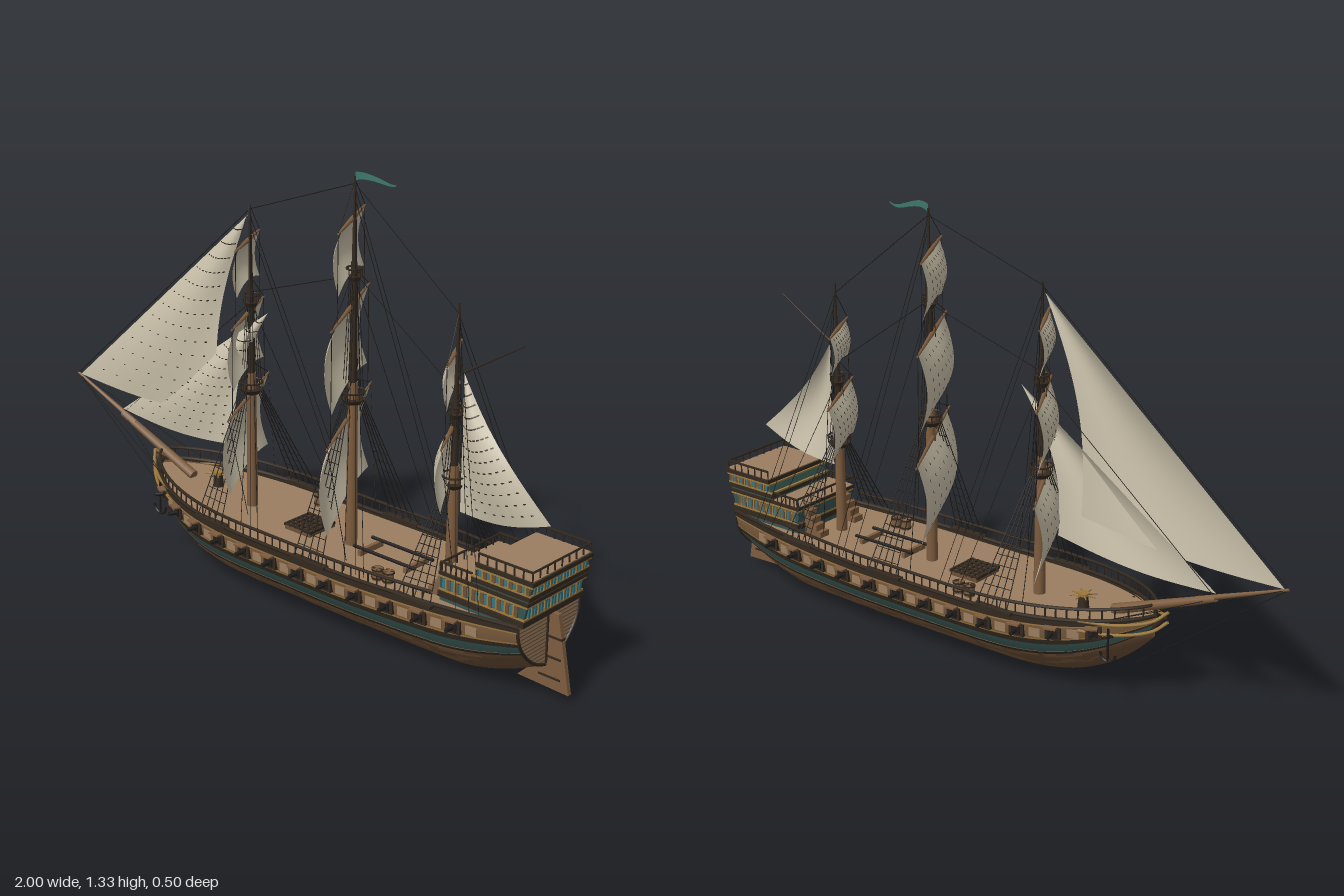
import * as THREE from 'three';
import { mergeGeometries } from 'three/addons/utils/BufferGeometryUtils.js';

const mat = (name, color) => new THREE.MeshStandardMaterial({ name, color, side: THREE.DoubleSide });
const M = {
  hull: mat('hull brown', 0x6b4f36), dark: mat('dark timber', 0x33291f), teal: mat('teal paint', 0x35534f),
  gold: mat('gold trim', 0x9c783c), deck: mat('deck planks', 0x9b7e60), spar: mat('spar brown', 0x7d5c3e),
  rope: mat('black rope and iron', 0x1f1c1a), sail: mat('canvas', 0xcac1aa), glass: mat('window blue', 0x37747f),
  flag: mat('pennant green', 0x3c776c),
};
const V = (x, y, z) => new THREE.Vector3(x, y, z);
const lerp = THREE.MathUtils.lerp;
const SIDES = [-1, 1];

// Adds one mesh made of one or many geometries
function add(parent, name, geos, material) {
  const list = [geos].flat().map(g => {
    g = g.index ? g.toNonIndexed() : g;
    g.deleteAttribute('uv');
    return g;
  });
  const mesh = new THREE.Mesh(mergeGeometries(list), material);
  mesh.name = name;
  parent.add(mesh);
}
// Surface from a rule fn(u, v), both 0..1
function grid(nu, nv, fn) {
  const pos = [], idx = [], w = nv + 1;
  for (let i = 0; i <= nu; i++) for (let j = 0; j <= nv; j++) pos.push(...fn(i / nu, j / nv).toArray());
  for (let i = 0; i < nu; i++) for (let j = 0; j < nv; j++) {
    const a = i * w + j;
    idx.push(a, a + 1, a + w, a + 1, a + w + 1, a + w);
  }
  const g = new THREE.BufferGeometry();
  g.setAttribute('position', new THREE.Float32BufferAttribute(pos, 3));
  g.setIndex(idx);
  g.computeVertexNormals();
  return g;
}
// Straight tapered rod between two points
function rod(a, b, r0, r1 = r0, n = 4) {
  const d = b.clone().sub(a), g = new THREE.CylinderGeometry(r1, r0, d.length(), n);
  g.applyQuaternion(new THREE.Quaternion().setFromUnitVectors(V(0, 1, 0), d.normalize()));
  return g.translate(...a.clone().add(b).multiplyScalar(0.5).toArray());
}
const box = (w, h, d, x = 0, y = 0, z = 0) => new THREE.BoxGeometry(w, h, d).translate(x, y, z);
const cyl = (r, h, x, y, z, n = 12, rTop = r) => new THREE.CylinderGeometry(rTop, r, h, n).translate(x, y, z);
const tube = (pts, r, n = 40) => new THREE.TubeGeometry(new THREE.CatmullRomCurve3(pts), n, r, 5);

// Hull form: keel line, sheer line, half beam and section
const X0 = -0.59, X1 = 0.92;
const keel = x => x < -0.12 ? 0.2 * ((-0.12 - x) / 0.47) ** 2.6 : x > 0.65 ? 0.09 * ((x - 0.65) / 0.27) ** 1.7 : 0;
const sheer = x => 0.235 + (x < 0 ? 0.03 * (x / 0.59) ** 2 : 0.015 * (x / 0.92) ** 2);
const beam = x => x < 0 ? 0.2 * Math.max(0, 1 - (-x / 0.59) ** 2.6) ** 0.75
  : x > 0.3 ? 0.2 - 0.062 * ((x - 0.3) / 0.62) ** 1.6 : 0.2;
const H = (x, s, sd, off = 0) =>
  V(x, lerp(keel(x), sheer(x), s), sd * (beam(x) * Math.sin(1.62 * s ** 0.68) + off));
const along = u => X0 + (X1 - X0) * u ** 1.4;
const band = (s0, s1, off, n = 2) => SIDES.map(sd =>
  grid(60, n, (u, v) => H(along(u), lerp(s0, s1, v), sd, off)));
// Moves a part modelled at the origin to the hull side
function onHull(g, x, s, sd, off = 0) {
  const slope = (beam(x + 0.01) - beam(x - 0.01)) / 0.02;
  return g.rotateY(-Math.atan(sd * slope)).translate(...H(x, s, sd, off).toArray());
}

function buildHull(root) {
  const g = new THREE.Group();
  g.name = 'hull';
  root.add(g);
  add(g, 'bottom planking', band(0, 0.43, 0, 14), M.hull);
  add(g, 'lower wale', band(0.43, 0.47, 0.003), M.dark);
  add(g, 'teal strake', band(0.47, 0.61, 0, 4), M.teal);
  add(g, 'main wale', band(0.61, 0.68, 0.005), M.dark);
  add(g, 'gun strake', band(0.68, 0.9, 0, 4), M.spar);
  add(g, 'gold moulding', [...band(0.675, 0.7, 0.003), ...band(0.88, 0.9, 0.003)], M.gold);
  add(g, 'top strake', band(0.9, 1, 0.002), M.dark);

  // Paler repair planks scattered over the bottom
  let seed = 7;
  const rnd = () => (seed = (seed * 16807) % 2147483647) / 2147483647;
  const planks = [];
  for (let i = 0; i < 170; i++) {
    const x = -0.48 + rnd() * 1.25, row = Math.floor(rnd() * 6), len = 0.03 + rnd() * 0.06, sd = i % 2 ? 1 : -1;
    planks.push(grid(4, 1, (u, v) => H(x + u * len, 0.19 + (row + v) * 0.04, sd, 0.0015)));
  }
  add(g, 'repair planks', planks, M.spar);

  add(g, 'main deck', grid(50, 1, (u, v) => {
    const x = along(u);
    return V(x, sheer(x) - 0.015, (v * 2 - 1) * beam(x));
  }), M.deck);
  add(g, 'transom', grid(16, 1, (s, v) => H(X1, s, 1).multiply(V(1, 1, v * 2 - 1))), M.deck);
  const seams = [];
  for (let s = 0.1; s < 1; s += 0.07) seams.push(box(0.003, 0.003, 2 * H(X1, s, 1).z, X1, H(X1, s, 1).y, 0));
  add(g, 'transom seams', seams, M.hull);
  add(g, 'transom edge', SIDES.map(sd => tube([0, 0.1, 0.25, 0.5, 0.75, 1].map(s => H(X1, s, sd)), 0.005)), M.dark);

  // Gunports, guns and the raised panels between
  const frames = [], guns = [], panels = [], lids = [];
  for (const sd of SIDES) for (let i = 0; i < 12; i++) {
    const x = -0.46 + i * 0.108;
    frames.push(onHull(box(0.046, 0.038, 0.014), x, 0.79, sd));
    guns.push(onHull(box(0.026, 0.024, 0.018), x, 0.79, sd, 0.001));
    guns.push(onHull(new THREE.CylinderGeometry(0.006, 0.008, 0.05, 8).rotateX(sd * Math.PI / 2), x, 0.79, sd, 0.012));
    lids.push(onHull(box(0.036, 0.005, 0.026), x, 0.89, sd, 0.012));
    panels.push(onHull(box(0.034, 0.026, 0.008), x + 0.054, 0.78, sd));
  }
  add(g, 'port frames', frames, M.dark);
  add(g, 'guns', guns, M.rope);
  add(g, 'port lids', lids, M.spar);
  add(g, 'side panels', panels, M.deck);

  // Waist rail running around the bow
  const up = (p, h) => p.setY(p.y + h), port = [], posts = [];
  for (let i = 0; i <= 30; i++) port.push(0.66 + (X0 - 0.66) * (1 - (1 - i / 30) ** 1.5));
  const path = [...port.map(x => up(H(x, 1, 1), 0.035)), ...port.slice(0, -1).reverse().map(x => up(H(x, 1, -1), 0.035))];
  for (const sd of SIDES) for (let x = -0.57; x < 0.66; x += 0.03)
    posts.push(rod(H(x, 0.98, sd), up(H(x, 1, sd), 0.035), 0.003));
  add(g, 'waist rail', [tube(path, 0.005, 120), ...posts], M.dark);
  add(g, 'gunwale', SIDES.map(sd => tube(Array.from({ length: 25 }, (_, i) => H(along(i / 24), 1, sd)), 0.006, 60)), M.dark);

  // Rudder
  const shape = new THREE.Shape([[0.905, 0.25], [0.955, 0.25], [0.998, 0.025], [0.83, 0.03], [0.9, 0.1]].map(p => new THREE.Vector2(...p)));
  add(g, 'rudder', new THREE.ExtrudeGeometry(shape, { depth: 0.014, bevelEnabled: false }).translate(0, 0, -0.007), M.spar);
  add(g, 'rudder irons', [0.06, 0.12, 0.18].map(y => box(0.07, 0.006, 0.018, 0.935, y, 0)), M.dark);
  add(g, 'rudder post', SIDES.map(sd => rod(V(0.924, 0.1, sd * 0.01), V(0.924, 0.25, sd * 0.01), 0.004)), M.dark);

  // Bow head rails and anchors
  add(g, 'head rails', SIDES.flatMap(sd => [0, 0.03].map(d =>
    tube([V(-0.42, 0.25 - d, sd * 0.135), V(-0.52, 0.245 - d, sd * 0.085), V(-0.6, 0.26 - d, sd * 0.03), V(-0.63, 0.285 - d, 0)], 0.005))), M.gold);
  add(g, 'beakhead', rod(V(-0.53, 0.16, 0), V(-0.62, 0.27, 0), 0.014, 0.01, 6), M.dark);
  add(g, 'anchors', SIDES.flatMap(sd => [
    rod(V(-0.5, 0.235, sd * 0.1), V(-0.5, 0.13, sd * 0.1), 0.004),
    rod(V(-0.515, 0.215, sd * 0.1), V(-0.485, 0.215, sd * 0.1), 0.004),
    new THREE.TorusGeometry(0.025, 0.004, 5, 14, Math.PI).rotateZ(Math.PI).translate(-0.5, 0.158, sd * 0.1)]), M.rope);
}

function buildStern(root) {
  const g = new THREE.Group();
  g.name = 'sterncastle';
  root.add(g);
  const W = 0.128, STEP = 0.757, rake = y => 0.925 + (y - 0.25) * 0.22;
  const shape = new THREE.Shape([[0.65, 0.235], [0.915, 0.235], [0.925, 0.25], [rake(0.385), 0.385], [STEP + 0.02, 0.38], [STEP, 0.32], [0.65, 0.315]].map(p => new THREE.Vector2(...p)));
  add(g, 'castle walls', new THREE.ExtrudeGeometry(shape, { depth: 2 * W, bevelEnabled: false }).translate(0, 0, -W), M.teal);
  add(g, 'castle decks', [box(0.107, 0.006, 2 * W, 0.703, 0.321, 0), box(0.18, 0.006, 2 * W, 0.865, 0.386, 0)], M.deck);
  const belt = (x0, y, h, e) => box(rake(y) + e - x0, h, 2 * (W + e), (x0 + rake(y) + e) / 2, y, 0);
  add(g, 'dark belts', [belt(0.648, 0.257, 0.016, 0.008), belt(0.648, 0.317, 0.01, 0.005), belt(STEP, 0.334, 0.012, 0.005), belt(STEP + 0.015, 0.38, 0.012, 0.006)], M.dark);
  add(g, 'gold belts', [belt(0.649, 0.269, 0.005, 0.004), belt(0.649, 0.308, 0.005, 0.004), belt(STEP, 0.344, 0.005, 0.004), belt(STEP + 0.012, 0.37, 0.005, 0.004)], M.gold);

  // Window rows along the sides and across the stern
  const panes = [], mullions = [], shutters = [];
  for (const [x0, x1, y, h] of [[0.665, 0.915, 0.288, 0.026], [0.785, 0.935, 0.357, 0.016]]) {
    for (const sd of SIDES) for (let x = x0; x < x1; x += 0.028) {
      panes.push(box(0.01, h, 0.006, x, y, sd * W));
      mullions.push(box(0.005, h + 0.006, 0.01, x + 0.009, y, sd * W));
      shutters.push(box(0.008, h + 0.006, 0.008, x + 0.018, y, sd * W));
    }
    for (let i = -8; i <= 8; i++) {
      panes.push(box(0.008, h, 0.009, rake(y), y, i * 0.0142));
      if (i % 2) mullions.push(box(0.013, h + 0.006, 0.003, rake(y), y, i * 0.0142 + 0.007));
    }
  }
  add(g, 'window panes', panes, M.glass);
  add(g, 'window mullions', mullions, M.gold);
  add(g, 'window shutters', shutters, M.hull);

  // Deck railings
  const rails = [], railing = (x0, x1, y, back) => {
    for (const sd of SIDES) {
      rails.push(rod(V(x0, y + 0.028, sd * W), V(x1, y + 0.028, sd * W), 0.004));
      for (let i = 0; i <= 6; i++) rails.push(rod(V(lerp(x0, x1, i / 6), y, sd * W), V(lerp(x0, x1, i / 6), y + 0.028, sd * W), 0.003));
    }
    rails.push(rod(V(back, y + 0.028, -W), V(back, y + 0.028, W), 0.004));
    for (let i = 0; i <= 8; i++) rails.push(rod(V(back, y, lerp(-W, W, i / 8)), V(back, y + 0.028, lerp(-W, W, i / 8)), 0.003));
  };
  railing(0.65, STEP, 0.32, 0.655);
  railing(STEP + 0.02, 0.952, 0.385, 0.952);
  add(g, 'castle railings', rails, M.dark);
  add(g, 'stairs', [0, 1, 2, 3].flatMap(i => SIDES.map(sd => box(0.016, 0.02 * (i + 1), 0.04, 0.594 + i * 0.016, 0.225 + 0.01 * (i + 1), sd * 0.08))), M.spar);
}

function buildDeckGear(root) {
  const y = 0.222, grate = [], spokes = [];
  for (let i = 0; i < 6; i++) grate.push(box(0.1, 0.008, 0.006, 0.05, y + 0.012, -0.05 + i * 0.02), box(0.006, 0.008, 0.11, i * 0.02, y + 0.012, 0));
  add(root, 'hatch grating', grate, M.dark);
  add(root, 'hatch cover', box(0.1, 0.012, 0.11, 0.05, y + 0.004, 0), M.hull);
  add(root, 'spare spars', [-0.04, 0.04].map(z => rod(V(0.26, y + 0.02, z), V(0.49, y + 0.02, z), 0.005, 0.005, 6)), M.rope);
  add(root, 'spar cradles', [0.29, 0.46].map(x => box(0.012, 0.018, 0.1, x, y + 0.008, 0)), M.spar);
  const kegs = [[-0.04, -0.14], [0, -0.14], [0.43, 0.13], [0.465, 0.125]];
  add(root, 'barrels', kegs.map(([x, z]) => cyl(0.016, 0.035, x, y + 0.017, z)), M.spar);
  add(root, 'barrel hoops', kegs.flatMap(([x, z]) => [0.008, 0.032].map(h => cyl(0.018, 0.005, x, y + h, z))), M.dark);
  for (let i = 0; i < 8; i++) {
    const a = i * Math.PI / 4;
    spokes.push(rod(V(-0.36, 0.272, -0.02), V(-0.36 + 0.04 * Math.cos(a), 0.272, -0.02 + 0.04 * Math.sin(a)), 0.004, 0.002));
  }
  add(root, 'capstan bars', [...spokes, cyl(0.017, 0.008, -0.36, 0.274, -0.02)], M.gold);
  add(root, 'capstan drum', cyl(0.018, 0.05, -0.36, 0.25, -0.02, 12, 0.013), M.dark);
}

// Canvas with rows of reef points on its outer face
function canvas(parent, name, fn, nu, nv, push) {
  add(parent, name, grid(20, 16, fn), M.sail);
  const dots = [];
  for (let i = 1; i < nu; i++) for (let j = 1; j < nv; j++) {
    const u = i / nu, v = j / nv, p = fn(u, v).add(push);
    const du = fn(u + 0.01, v).sub(fn(u, v)).normalize(), dv = fn(u, v + 0.01).sub(fn(u, v)).normalize();
    dots.push(grid(1, 1, (a, b) => p.clone().addScaledVector(du, (a - 0.5) * 0.004).addScaledVector(dv, (b - 0.5) * 0.009)));
  }
  add(parent, name + ' reef points', dots, M.dark);
}

// Mast: x, top height, platform heights, square sails [yard y, half length, drop]
function buildMast(root, name, x, top, tops, sails) {
  const [t0, t1] = tops, g = new THREE.Group();
  g.name = name;
  g.position.x = x;
  root.add(g);
  add(g, 'lower mast', rod(V(0, 0.2, 0), V(0, t0 + 0.05, 0), 0.018, 0.014, 12), M.spar);
  add(g, 'upper mast', [rod(V(0, t0, 0), V(0, t1 + 0.04, 0), 0.012, 0.009, 10), rod(V(0, t1, 0), V(0, top, 0), 0.008, 0.003, 8)], M.dark);
  add(g, 'platforms', tops.flatMap((y, i) => {
    const r = i ? 0.022 : 0.034;
    return [cyl(r * 0.7, 0.014, 0, y - 0.007, 0, 12, r), new THREE.TorusGeometry(r, 0.003, 5, 16).rotateX(Math.PI / 2).translate(0, y + 0.022, 0),
      ...[0, 1, 2, 3, 4, 5, 6, 7].map(k => cyl(0.002, 0.022, r * Math.cos(k * Math.PI / 4), y + 0.011, r * Math.sin(k * Math.PI / 4), 4))];
  }), M.dark);

  // Shrouds, ratlines and backstays
  const ropes = [];
  for (const sd of SIDES) {
    const foot = k => V(-0.03 + k * 0.026, 0.245, sd * (beam(x + k * 0.026) + 0.008)), head = k => V(-0.012 + k * 0.006, t0, sd * 0.03);
    for (let k = 0; k < 5; k++) ropes.push(rod(foot(k), head(k), 0.0018));
    for (let i = 1; i < 12; i++) ropes.push(rod(foot(0).lerp(head(0), i / 13), foot(4).lerp(head(4), i / 13), 0.0012));
    for (const k of [-1, 0, 1]) ropes.push(rod(V(k * 0.01, t0, sd * 0.034), V(k * 0.006, t1, sd * 0.012), 0.0013));
    [[0.15, t1], [0.19, top - 0.06], [0.22, top - 0.03]].forEach(([d, y]) => ropes.push(rod(V(d, 0.25, sd * beam(x + d)), V(0, y, 0), 0.0011, 0.0011, 3)));
    add(g, 'channel', box(0.13, 0.008, 0.022, 0.02, 0.238, sd * (beam(x) + 0.002)), M.dark);
  }

  // Yards braced round, with their sails
  const braced = new THREE.Group();
  braced.name = 'braced yards';
  braced.rotation.y = 0.51;
  g.add(braced);
  const gear = [];
  sails.forEach(([y, a, drop], i) => {
    add(braced, 'yard', SIDES.map(sd => rod(V(-0.008, y, 0), V(-0.008, y, sd * a), 0.007, 0.003, 8)), M.spar);
    const depth = 0.23 * drop;
    canvas(braced, 'square sail', (u, v) => {
      const s = 1 - 2 * u;
      return V(-0.004 - depth * Math.sin(Math.PI * 0.95 * v) * (1 - 0.5 * s * s), y - v * (drop - 0.02 * (1 - s * s)), s * a * (0.87 + 0.07 * v));
    }, 10, 8, V(-0.003, 0, 0));
    const next = sails[i - 1];
    for (const sd of SIDES) {
      gear.push(rod(V(-0.008, y, sd * a), V(0, Math.min(y + 0.11, top), 0), 0.0012, 0.0012, 3));
      gear.push(rod(V(-0.008, y, sd * a * 0.97), next ? V(-0.008, next[0], sd * a) : V(0.03, 0.26, sd * a * 0.7), 0.0012, 0.0012, 3));
    }
  });
  add(g, 'standing rigging', ropes, M.rope);
  add(braced, 'running rigging', gear, M.rope);
}

// Triangular sail, bellied to one side with a hollow after edge
function staysail(root, name, head, tack, clew, hollow) {
  canvas(root, name, (u, v) => {
    const p = head.clone().lerp(tack.clone().lerp(clew, v), u), bow = Math.sin(Math.PI * u);
    return p.add(V(-hollow * bow * v * v, -0.02 * u * Math.sin(Math.PI * v), 0.03 * bow * Math.sin(Math.PI * v) + 0.01 * v * u));
  }, 14, 9, V(0, 0, 0.003));
}

export function createModel() {
  const root = new THREE.Group();
  root.name = 'sailing ship';
  buildHull(root);
  buildStern(root);
  buildDeckGear(root);
  buildMast(root, 'fore mast', -0.19, 1.16, [0.6, 0.87], [[0.575, 0.225, 0.235], [0.835, 0.175, 0.19], [1.055, 0.13, 0.14]]);
  buildMast(root, 'main mast', 0.215, 1.31, [0.67, 1.03], [[0.62, 0.285, 0.265], [0.94, 0.24, 0.24], [1.19, 0.17, 0.175]]);
  buildMast(root, 'mizzen mast', 0.585, 1.03, [0.52, 0.72], [[0.68, 0.175, 0.185], [0.89, 0.12, 0.125]]);

  // Bowsprit, gaff and fore-and-aft sails
  add(root, 'bowsprit', rod(V(-0.45, 0.245, 0), V(-0.78, 0.37, 0), 0.016, 0.011, 10), M.spar);
  add(root, 'jib boom', rod(V(-0.72, 0.352, 0), V(-0.998, 0.457, 0), 0.009, 0.004, 8), M.spar);
  add(root, 'gaff', rod(V(0.59, 0.83, 0), V(0.805, 0.96, 0), 0.004, 0.002, 6), M.dark);
  staysail(root, 'outer jib', V(-0.2, 1.13, 0), V(-0.985, 0.455, 0), V(-0.32, 0.49, 0.01), 0.05);
  staysail(root, 'inner jib', V(-0.12, 0.85, 0), V(-0.78, 0.385, 0), V(-0.24, 0.41, 0.01), 0.05);
  staysail(root, 'spanker', V(0.61, 0.84, 0), V(0.61, 0.44, 0), V(0.925, 0.5, 0.01), 0.03);

  // Stays between the masts and the bow
  const stays = [
    [-0.998, 0.457, -0.19, 1.15], [-0.19, 1.15, 0.215, 1.29], [-0.19, 0.9, 0.215, 1.03], [0.215, 1.29, 0.585, 1.0],
    [0.215, 1.04, 0.585, 0.78], [-0.998, 0.457, -0.53, 0.1], [-0.78, 0.37, -0.56, 0.16], [-0.78, 0.37, -0.19, 0.87],
  ].map(([a, b, c, d]) => rod(V(a, b, 0), V(c, d, 0), 0.0013));
  for (const sd of SIDES) for (const [x, y] of [[-0.998, 0.457], [-0.78, 0.37]])
    stays.push(rod(V(x, y, 0), V(-0.5, 0.26, sd * 0.09), 0.0012));
  add(root, 'stays', stays, M.rope);

  // Masthead pennant
  add(root, 'pennant', grid(16, 2, (u, v) => V(0.215 + 0.15 * u, 1.31 + 0.007 * Math.sin(u * 6) + (v - 0.5) * 0.024 * (1 - 0.85 * u),
    0.008 * Math.sin(u * 7))), M.flag);
  return root;
}
